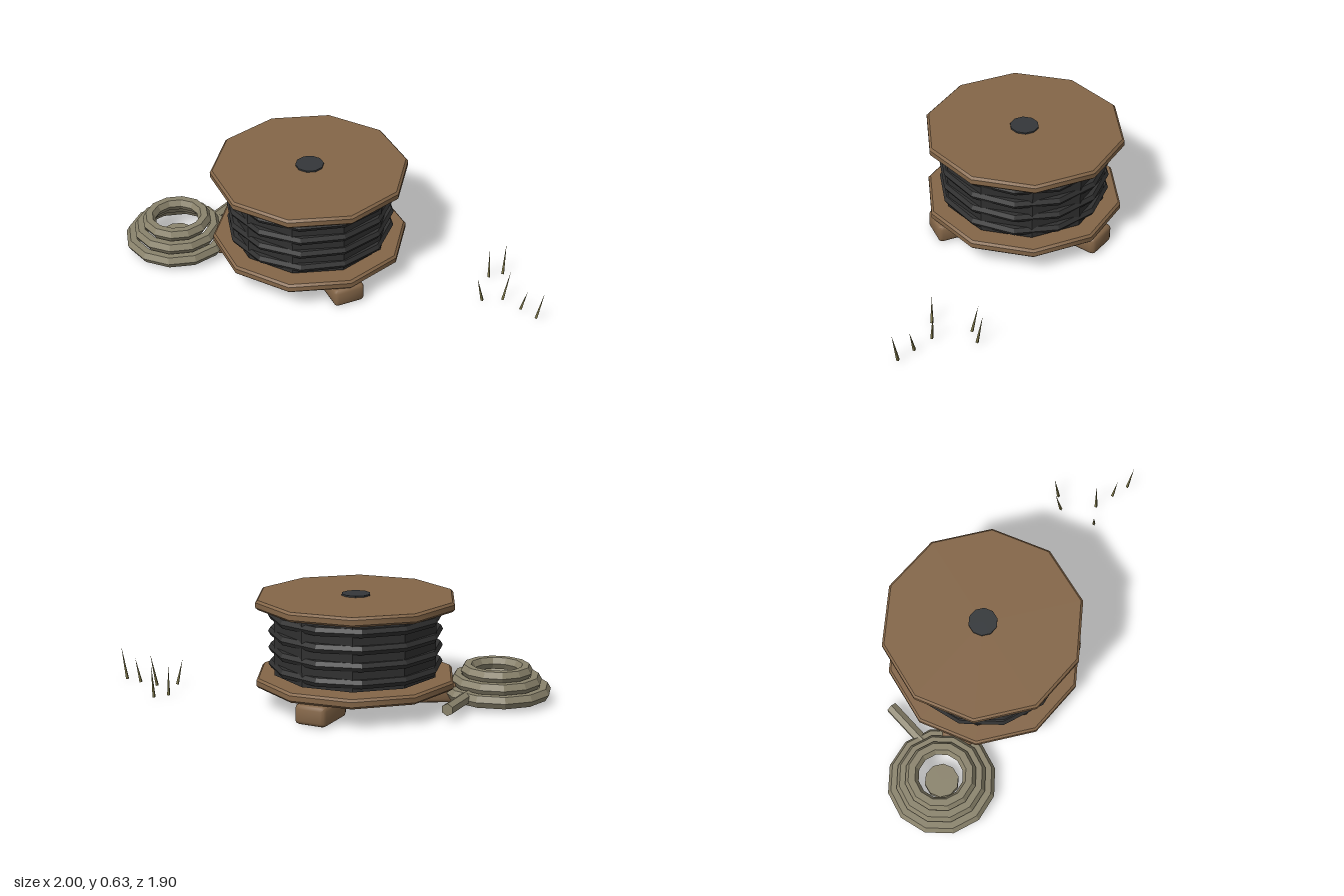
import * as THREE from 'three';
import { toCreasedNormals } from 'three/addons/utils/BufferGeometryUtils.js';
import { RoundedBoxGeometry } from 'three/addons/geometries/RoundedBoxGeometry.js';

const material = (name, color, flatShading = true) => {
  const m = new THREE.MeshStandardMaterial({ color, flatShading });
  m.name = name;
  return m;
};

export function createModel() {
  const model = new THREE.Group();
  model.name = 'cableSpool';

  const wood = material('wood', 0x846648, false);
  const cable = material('black cable', 0x303030);
  const iron = material('iron', 0x34373a);
  const rope = material('rope', 0x8a836c);
  const grass = material('dry grass', 0x7a7347);

  const add = (parent, name, geometry, mat, x = 0, y = 0, z = 0) => {
    const mesh = new THREE.Mesh(geometry, mat);
    mesh.name = name;
    mesh.position.set(x, y, z);
    parent.add(mesh);
    return mesh;
  };
  // Faceted ring lying flat
  const ring = (radius, tube, segments) =>
    new THREE.TorusGeometry(radius, tube, 6, segments).rotateX(Math.PI / 2);
  // Tapered or straight bar between two points
  const bar = (parent, name, from, to, r0, r1, sides, mat) => {
    const a = new THREE.Vector3(...from);
    const b = new THREE.Vector3(...to);
    const dir = b.clone().sub(a);
    const mesh = add(parent, name, new THREE.CylinderGeometry(r1, r0, dir.length(), sides), mat);
    mesh.position.copy(a).add(b).multiplyScalar(0.5);
    mesh.quaternion.setFromUnitVectors(new THREE.Vector3(0, 1, 0), dir.normalize());
    return mesh;
  };

  // Spool
  const spool = new THREE.Group();
  spool.name = 'spool';
  spool.position.set(0.02, 0, -0.215);
  model.add(spool);

  // Ten-sided flanges with chamfered rims
  const profile = [[0, 0], [0.572, 0], [0.585, 0.013], [0.585, 0.042], [0.572, 0.055], [0, 0.055]]
    .map(([r, y]) => new THREE.Vector2(r, y));
  const flange = toCreasedNormals(new THREE.LatheGeometry(profile, 10), 0.7);
  add(spool, 'lowerFlange', flange, wood, 0, 0.117, 0);
  add(spool, 'upperFlange', flange, wood, 0, 0.57, 0);

  // Core, wound cable and raised windings
  add(spool, 'core', toCreasedNormals(new THREE.CylinderGeometry(0.27, 0.27, 0.42, 10), 0.7), wood, 0, 0.37, 0);
  add(spool, 'cableDrum', new THREE.CylinderGeometry(0.48, 0.48, 0.37, 10), cable, 0, 0.37, 0);
  for (let i = 0; i < 4; i++) {
    add(spool, 'cableWinding', ring(0.474, 0.028, 12), cable, 0, 0.23 + i * 0.095, 0);
  }
  add(spool, 'axleCap', new THREE.CylinderGeometry(0.084, 0.084, 0.03, 10), iron, 0, 0.619, 0);

  // Three chamfered feet pointing outward
  const foot = toCreasedNormals(new RoundedBoxGeometry(0.19, 0.117, 0.28, 1, 0.025), 0.9);
  for (let i = 0; i < 3; i++) {
    const a = (i * Math.PI * 2) / 3;
    add(spool, 'foot', foot, wood, Math.sin(a) * 0.435, 0.0585, Math.cos(a) * 0.435).rotation.y = a;
  }

  // Rope coil: stacked rings, centre disc and loose end
  const coil = new THREE.Group();
  coil.name = 'ropeCoil';
  coil.position.set(-0.68, 0, -0.635);
  model.add(coil);
  for (let i = 0; i < 3; i++) {
    add(coil, 'ropeLoop', ring(0.28 - i * 0.055, 0.04, 12), rope, 0, 0.06 + i * 0.057, 0);
  }
  add(coil, 'ropeCentre', new THREE.CylinderGeometry(0.1, 0.1, 0.04, 10), rope, 0, 0.05, 0);
  bar(coil, 'ropeEnd', [0.23, 0.065, -0.04], [0.505, 0.065, -0.195], 0.036, 0.036, 6, rope);

  // Grass blades: base x, base z, tip x, tip z, height
  const blades = [
    [0.735, 0.645, 0.703, 0.63, 0.16],
    [0.848, 0.688, 0.886, 0.692, 0.2],
    [0.882, 0.468, 0.895, 0.435, 0.185],
    [0.973, 0.475, 0.997, 0.452, 0.2],
    [0.898, 0.808, 0.917, 0.838, 0.148],
    [0.937, 0.915, 0.955, 0.95, 0.203],
  ];
  for (const [bx, bz, tx, tz, h] of blades) {
    bar(model, 'grassBlade', [bx, 0.002, bz], [tx, h, tz], 0.01, 0, 4, grass);
  }

  return model;
}
